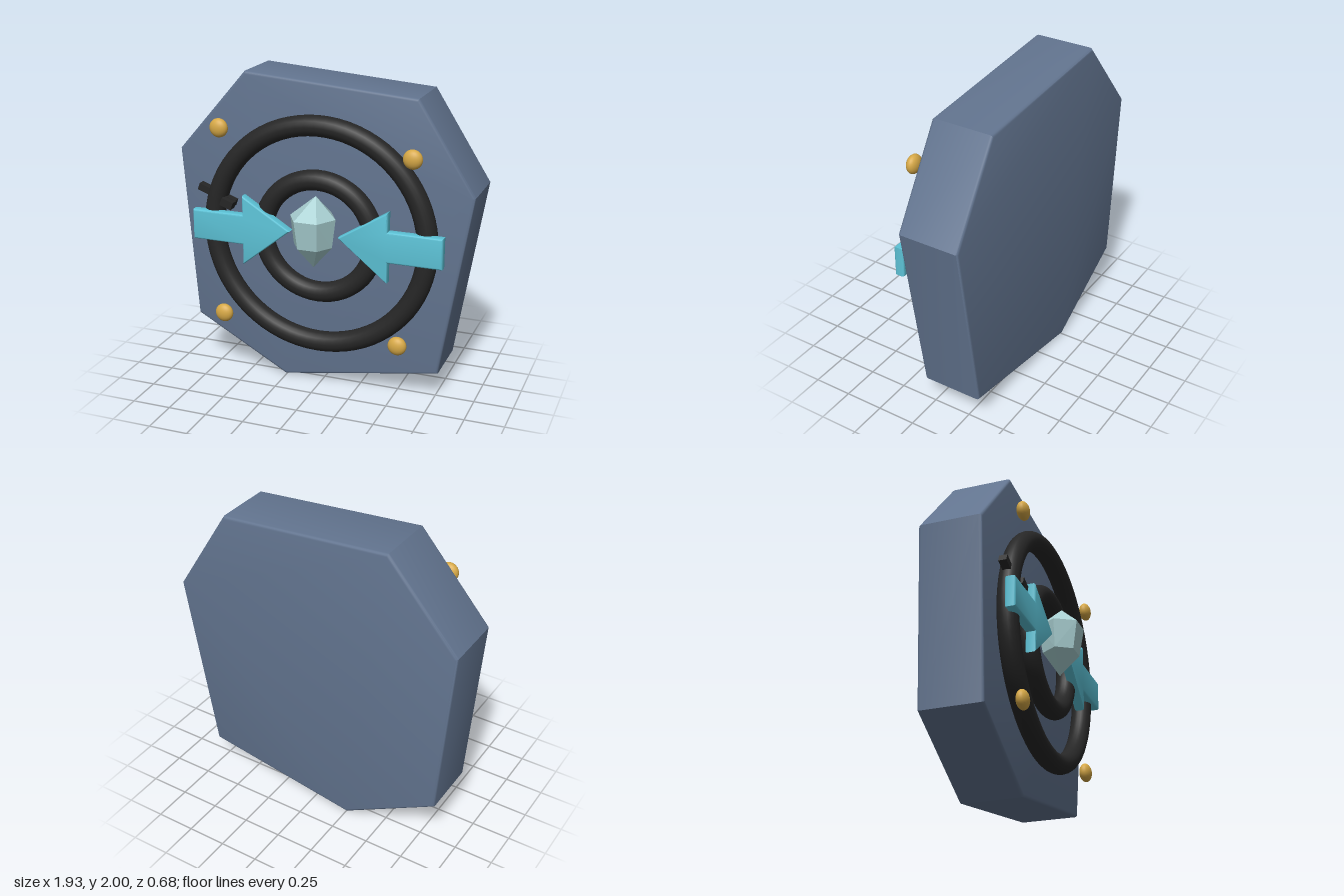
import * as THREE from 'three';
import { ConvexGeometry } from 'three/addons/geometries/ConvexGeometry.js';
import { toCreasedNormals } from 'three/addons/utils/BufferGeometryUtils.js';

const mat = (name, color) => {
  const m = new THREE.MeshStandardMaterial({ color });
  m.name = name;
  return m;
};

// Extruded outline with rounded edges, filling z from back to front
function plate(points, back, front, bevel) {
  const shape = new THREE.Shape(points.map(([x, y]) => new THREE.Vector2(x, y)));
  const geo = new THREE.ExtrudeGeometry(shape, {
    depth: front - back - 2 * bevel, bevelEnabled: true, bevelThickness: bevel,
    bevelSize: bevel, bevelOffset: -bevel, bevelSegments: 3,
  });
  geo.translate(0, 0, back + bevel);
  return toCreasedNormals(geo, 0.6);
}

export function createModel() {
  const group = new THREE.Group();
  const slate = mat('slate blue', 0x62748f);
  const black = mat('black', 0x262626);
  const gold = mat('gold', 0xd6a846);
  const cyan = mat('cyan', 0x5cc2d6);
  const ice = mat('pale crystal', 0xa9d0d2);

  const add = (name, geo, material, x = 0, y = 0, z = 0) => {
    const mesh = new THREE.Mesh(geo, material);
    mesh.name = name;
    mesh.position.set(x, y, z);
    group.add(mesh);
    return mesh;
  };

  // Irregular seven-sided stone slab
  add('slab', plate([
    [-0.255, 0], [0.772, 0.175], [0.965, 1.345], [0.605, 1.912],
    [-0.51, 2], [-0.966, 1.475], [-0.877, 0.345],
  ], -0.34, 0.057, 0.018), slate);

  // Two concentric rings
  add('outerRing', new THREE.TorusGeometry(0.703, 0.065, 20, 72), black, 0, 1.014, 0.122);
  add('innerRing', new THREE.TorusGeometry(0.364, 0.064, 20, 56), black, 0, 1.014, 0.122);

  // Small pin crossing the outer ring, with a little foot at its inner end
  add('pin', new THREE.BoxGeometry(0.26, 0.045, 0.05), black, -0.677, 1.217, 0.125).rotation.z = -0.36;
  add('pinFoot', new THREE.BoxGeometry(0.08, 0.05, 0.06), black, -0.592, 1.178, 0.16).rotation.z = -0.36;

  // Flattened studs
  for (const [x, y] of [[-0.627, 1.665], [0.615, 1.585], [-0.627, 0.436], [0.545, 0.39]])
    add('stud', new THREE.SphereGeometry(0.06, 24, 16), gold, x, y, 0.187).scale.z = 0.64;

  // Arrows pointing at the crystal from both sides
  for (const side of [1, -1]) {
    const outline = [
      [0.817, 0.93], [0.817, 1.125], [0.475, 1.125], [0.475, 1.248],
      [0.158, 1.052], [0.475, 0.797], [0.475, 0.93],
    ].map(([x, y]) => [side * x, y]);
    add(side > 0 ? 'leftArrow' : 'rightArrow', plate(outline, 0.145, 0.21, 0.012), cyan);
  }

  // Faceted six-sided crystal with pointed ends
  const pts = [new THREE.Vector3(0.02, 1.305, 0.21), new THREE.Vector3(0, 0.84, 0.2)];
  for (let i = 0; i < 6; i++) {
    const a = (i * Math.PI) / 3, c = Math.cos(a), s = Math.sin(a);
    pts.push(new THREE.Vector3(0.148 * c, 1.168, 0.21 + 0.148 * s));
    pts.push(new THREE.Vector3(0.125 * c, 0.985, 0.21 + 0.115 * s));
  }
  add('crystal', new ConvexGeometry(pts), ice);

  return group;
}
